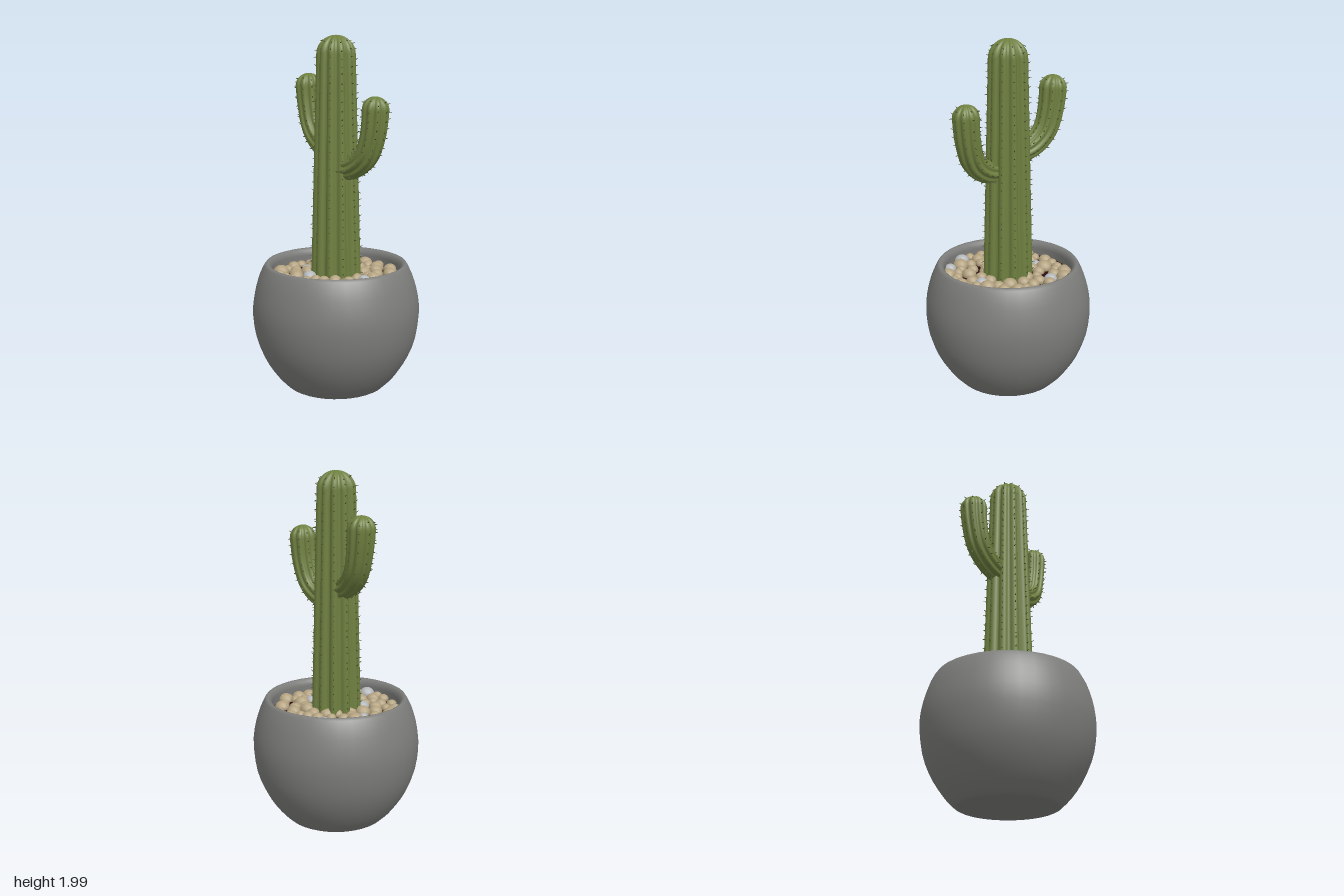
import * as THREE from 'three';
import { mergeGeometries } from 'three/addons/utils/BufferGeometryUtils.js';

const mat = (name, color, side = THREE.FrontSide) => {
  const m = new THREE.MeshStandardMaterial({ color, side });
  m.name = name;
  return m;
};

// Small seeded generator in 0..1
function seeded(seed) {
  return () => {
    seed = (seed * 16807) % 2147483647;
    return seed / 2147483647;
  };
}

function mesh(name, geometry, material) {
  const m = new THREE.Mesh(geometry, material);
  m.name = name;
  return m;
}

// A ribbed cactus limb swept along a path, with a domed tip and spines on its ribs
function makeLimb(name, { points, r0, r1, ribs, cap, groove, spineGap }, skin, spineMat, rand) {
  const curve = new THREE.CatmullRomCurve3(points.map((p) => new THREE.Vector3(...p)));
  const length = curve.getLength();
  const steps = 200;
  const frames = curve.computeFrenetFrames(steps, false);
  const radiusAt = (u) => {
    const k = Math.min(1, ((1 - u) * length) / cap);
    return THREE.MathUtils.lerp(r0, r1, u) * Math.sqrt(Math.max(0, 1 - (1 - k) ** 2));
  };
  const place = (u, angle, radius) => {
    const f = Math.round(u * steps);
    const out = frames.normals[f].clone().multiplyScalar(Math.cos(angle))
      .addScaledVector(frames.binormals[f], Math.sin(angle));
    return { out, tangent: frames.tangents[f], pos: curve.getPointAt(u).addScaledVector(out, radius) };
  };

  // Rings are even along the body and close together over the dome
  const us = [];
  const body = 1 - cap / length;
  for (let i = 0; i < 24; i++) us.push((body * i) / 24);
  for (let i = 0; i <= 10; i++) us.push(body + (1 - body) * Math.sin((i / 10) * Math.PI / 2));

  const sides = ribs * 6;
  const pos = [];
  const index = [];
  us.forEach((u, i) => {
    for (let j = 0; j < sides; j++) {
      const a = (j / sides) * Math.PI * 2;
      const rib = Math.abs(Math.cos((a * ribs) / 2));
      const r = radiusAt(u) * (1 - groove * (1 - rib) ** 1.2);
      pos.push(...place(u, a, r).pos.toArray());
      if (i === us.length - 1) continue;
      const k = (j + 1) % sides;
      const p = i * sides;
      const q = p + sides;
      index.push(p + j, p + k, q + k, p + j, q + k, q + j);
    }
  });
  const geo = new THREE.BufferGeometry();
  geo.setAttribute('position', new THREE.Float32BufferAttribute(pos, 3));
  geo.setIndex(index);
  geo.computeVertexNormals();

  // Spines in loose rows along every rib
  const spines = [];
  const up = new THREE.Vector3(0, 1, 0);
  const count = Math.floor(length / spineGap);
  for (let j = 0; j < ribs; j++) {
    for (let i = 1; i < count; i++) {
      const u = Math.min(0.985, (i + 0.5 * rand()) / count);
      const { out, tangent, pos: base } = place(u, (j / ribs) * Math.PI * 2, radiusAt(u) * 0.985);
      const dir = out.addScaledVector(tangent, rand() * 1.2 - 0.4).normalize();
      const cone = new THREE.ConeGeometry(0.0045, 0.02, 4).translate(0, 0.007, 0);
      cone.applyQuaternion(new THREE.Quaternion().setFromUnitVectors(up, dir));
      spines.push(cone.translate(base.x, base.y, base.z));
    }
  }

  const limb = new THREE.Group();
  limb.name = name;
  limb.add(mesh(name + 'Body', geo, skin), mesh(name + 'Spines', mergeGeometries(spines), spineMat));
  return limb;
}

export function createModel() {
  const model = new THREE.Group();
  model.name = 'pottedCactus';
  const rand = seeded(4217);
  const stone = mat('pot grey', 0x7d7d7b, THREE.DoubleSide);
  const soilMat = mat('dark soil', 0x2e0d0f);
  const tan = mat('tan pebble', 0xb3a280);
  const pale = mat('pale pebble', 0xb4b7ba);
  const green = mat('cactus green', 0x6f8040, THREE.DoubleSide);
  const dark = mat('spine green', 0x485226);

  // Round pot with a flat foot, a thick rim and an inner wall
  const outer = new THREE.SplineCurve([
    [0.285, 0.008], [0.345, 0.07], [0.41, 0.17], [0.457, 0.29], [0.476, 0.43],
    [0.466, 0.54], [0.437, 0.645], [0.407, 0.708],
  ].map((p) => new THREE.Vector2(...p))).getPoints(16);
  const profile = [
    new THREE.Vector2(0, 0), new THREE.Vector2(0.268, 0), new THREE.Vector2(0.27, 0),
    ...outer,
    ...[[0.398, 0.72], [0.385, 0.718], [0.37, 0.705], [0.366, 0.68], [0.37, 0.6]]
      .map((p) => new THREE.Vector2(...p)),
  ];
  model.add(mesh('pot', new THREE.LatheGeometry(profile, 36), stone));

  // Soil disc under the pebbles
  const soil = mesh('soil', new THREE.CircleGeometry(0.37, 36).rotateX(-Math.PI / 2), soilMat);
  soil.position.y = 0.635;
  model.add(soil);

  // Pebbles scattered over the soil without crowding
  const placed = [];
  const batches = { tan: [], pale: [] };
  for (let tries = 0; tries < 5000 && placed.length < 120; tries++) {
    const r = 0.028 + 0.022 * rand();
    const d = Math.sqrt(rand()) * 0.345;
    const a = rand() * Math.PI * 2;
    const x = d * Math.cos(a);
    const z = d * Math.sin(a);
    if (d < 0.11 || placed.some((p) => Math.hypot(p.x - x, p.z - z) < (p.r + r) * 0.8)) continue;
    placed.push({ x, z, r });
    const g = new THREE.SphereGeometry(r, 12, 8);
    g.scale(1, 0.85, 1).translate(x, 0.64 + 0.006 * rand(), z);
    batches[rand() < 0.14 ? 'pale' : 'tan'].push(g);
  }
  model.add(mesh('tanPebbles', mergeGeometries(batches.tan), tan));
  model.add(mesh('palePebbles', mergeGeometries(batches.pale), pale));

  // Trunk and two upturned arms
  const limbs = {
    trunk: {
      points: [[0, 0.62, 0], [0, 1.1, 0], [0, 1.55, 0], [0, 1.99, 0]],
      r0: 0.142, r1: 0.106, ribs: 11, cap: 0.1, groove: 0.22, spineGap: 0.045,
    },
    rightArm: {
      points: [[-0.04, 1.35, -0.02], [-0.14, 1.39, -0.06], [-0.21, 1.47, -0.09],
        [-0.245, 1.6, -0.105], [-0.26, 1.775, -0.11]],
      r0: 0.062, r1: 0.08, ribs: 9, cap: 0.075, groove: 0.2, spineGap: 0.045,
    },
    leftArm: {
      points: [[0.04, 1.26, 0.02], [0.14, 1.28, 0.04], [0.22, 1.34, 0.05],
        [0.265, 1.46, 0.05], [0.285, 1.67, 0.05]],
      r0: 0.062, r1: 0.077, ribs: 9, cap: 0.075, groove: 0.2, spineGap: 0.045,
    },
  };
  for (const [name, spec] of Object.entries(limbs)) model.add(makeLimb(name, spec, green, dark, rand));
  return model;
}
